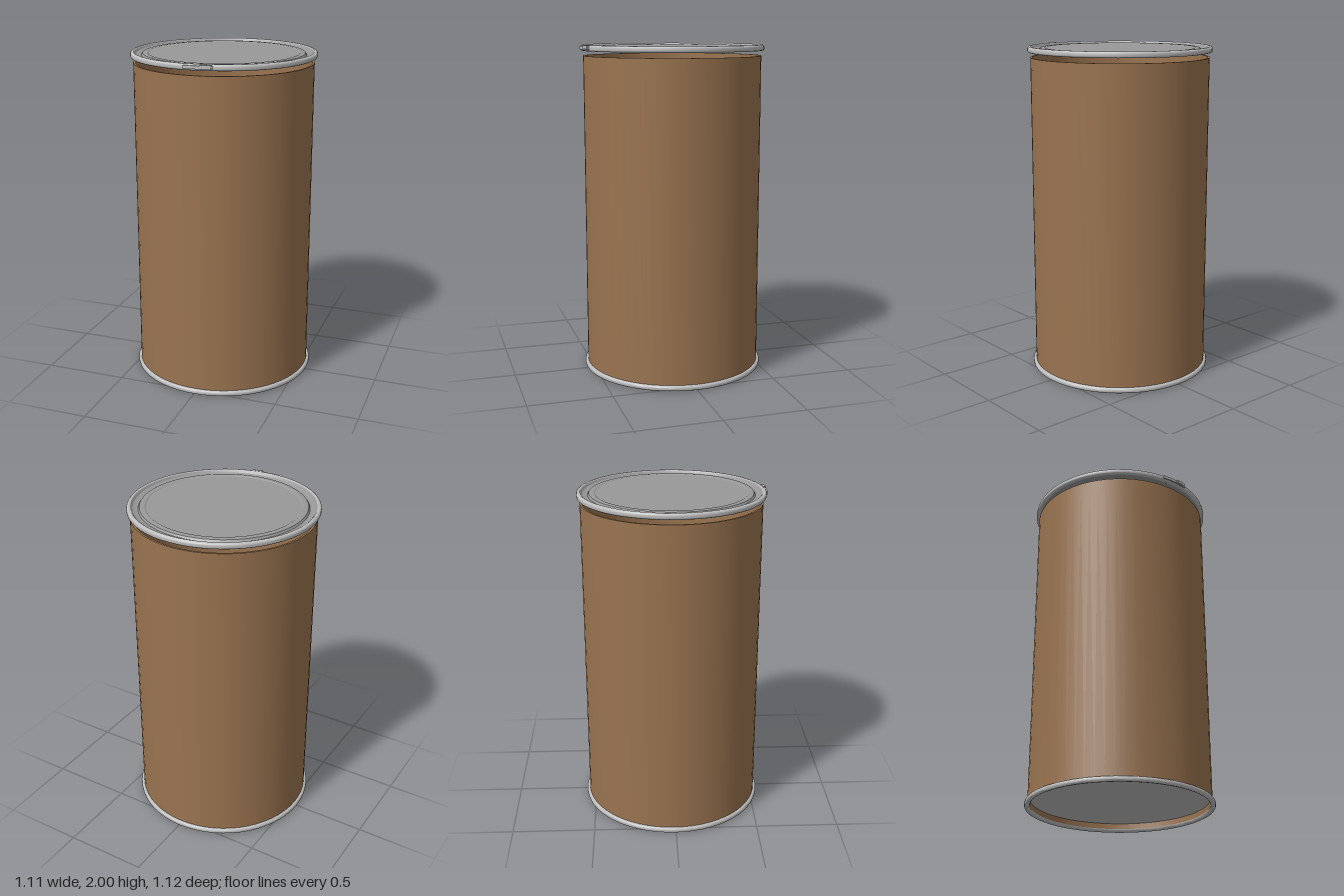
import * as THREE from 'three';
import { toCreasedNormals } from 'three/addons/utils/BufferGeometryUtils.js';

const SEGMENTS = 60;

function material(name, color) {
  const m = new THREE.MeshStandardMaterial({ color });
  m.name = name;
  return m;
}

// Revolve a [radius, y] outline; outside edges run upward
function turned(name, outline, mat, crease = 0.5) {
  const points = outline.map(([r, y]) => new THREE.Vector2(r, y));
  const mesh = new THREE.Mesh(toCreasedNormals(new THREE.LatheGeometry(points, SEGMENTS), crease), mat);
  mesh.name = name;
  return mesh;
}

export function createModel() {
  const fibre = material('brown fibreboard', 0x9a7450);
  const sheet = material('grey sheet metal', 0x999999);
  const steel = material('light grey steel', 0xbdbdbd);

  const model = new THREE.Group();
  model.name = 'drum';
  const drum = new THREE.Group();
  drum.name = 'drumParts';
  drum.position.z = -0.007;
  model.add(drum);

  // Hollow fibre wall
  drum.add(turned('bodyWall', [
    [0.526, 0.012], [0.538, 0.012], [0.538, 1.935], [0.526, 1.935], [0.526, 0.012],
  ], fibre));

  // Recessed floor
  drum.add(turned('floorPanel', [
    [0, 0.052], [0.528, 0.052], [0.528, 0.06], [0, 0.06],
  ], steel));

  // Rolled foot ring with a hem under the wall
  drum.add(turned('footRing', [
    [0.524, 0.018], [0.526, 0.006], [0.532, 0.002], [0.546, 0], [0.553, 0.004],
    [0.555, 0.01], [0.555, 0.022], [0.552, 0.028], [0.545, 0.031], [0.536, 0.032],
    [0.536, 0.018], [0.524, 0.018],
  ], steel, 0.9));

  // Pressed lid: flat centre, raised bead and outer groove
  drum.add(turned('lid', [
    [0, 1.967], [0.535, 1.967], [0.535, 1.996], [0.53, 1.995],
    [0.522, 1.985], [0.512, 1.981], [0.496, 1.978], [0.49, 1.978],
    [0.482, 1.99], [0.475, 1.992], [0.452, 1.992], [0.445, 1.988], [0, 1.988],
  ], sheet, 0.35));

  // Locking ring clamped around the lid edge
  drum.add(turned('lockingRing', [
    [0.53, 1.97], [0.535, 1.966], [0.546, 1.965], [0.553, 1.969], [0.555, 1.975],
    [0.555, 1.988], [0.553, 1.994], [0.546, 1.999], [0.536, 2], [0.53, 1.995], [0.53, 1.97],
  ], steel, 0.9));

  // Clasp of the locking ring: curved lever, hinge plate and pins
  const clasp = new THREE.Group();
  clasp.name = 'clasp';
  function strap(name, inner, outer, y0, y1, x0, x1) {
    const a0 = Math.asin(x0 / outer);
    const a1 = Math.asin(x1 / outer);
    const shape = new THREE.Shape();
    shape.absarc(0, 0, outer, -Math.PI / 2 + a0, -Math.PI / 2 + a1, false);
    shape.absarc(0, 0, inner, -Math.PI / 2 + a1, -Math.PI / 2 + a0, true);
    const bar = new THREE.ExtrudeGeometry(shape, { depth: y1 - y0, bevelEnabled: false, curveSegments: 6 });
    bar.rotateX(-Math.PI / 2);
    const mesh = new THREE.Mesh(bar, steel);
    mesh.name = name;
    mesh.position.y = y0;
    clasp.add(mesh);
  }
  strap('leverPlate', 0.55, 0.562, 1.975, 1.993, -0.04, 0.13);
  strap('hingePlate', 0.55, 0.567, 1.978, 1.998, 0.06, 0.125);
  for (const x of [0.068, 0.117]) {
    const pin = new THREE.Mesh(new THREE.CylinderGeometry(0.005, 0.005, 0.024, 10), steel);
    pin.name = 'claspPin';
    pin.position.set(x, 1.987, Math.sqrt(0.564 ** 2 - x * x));
    clasp.add(pin);
  }
  drum.add(clasp);
  return model;
}
